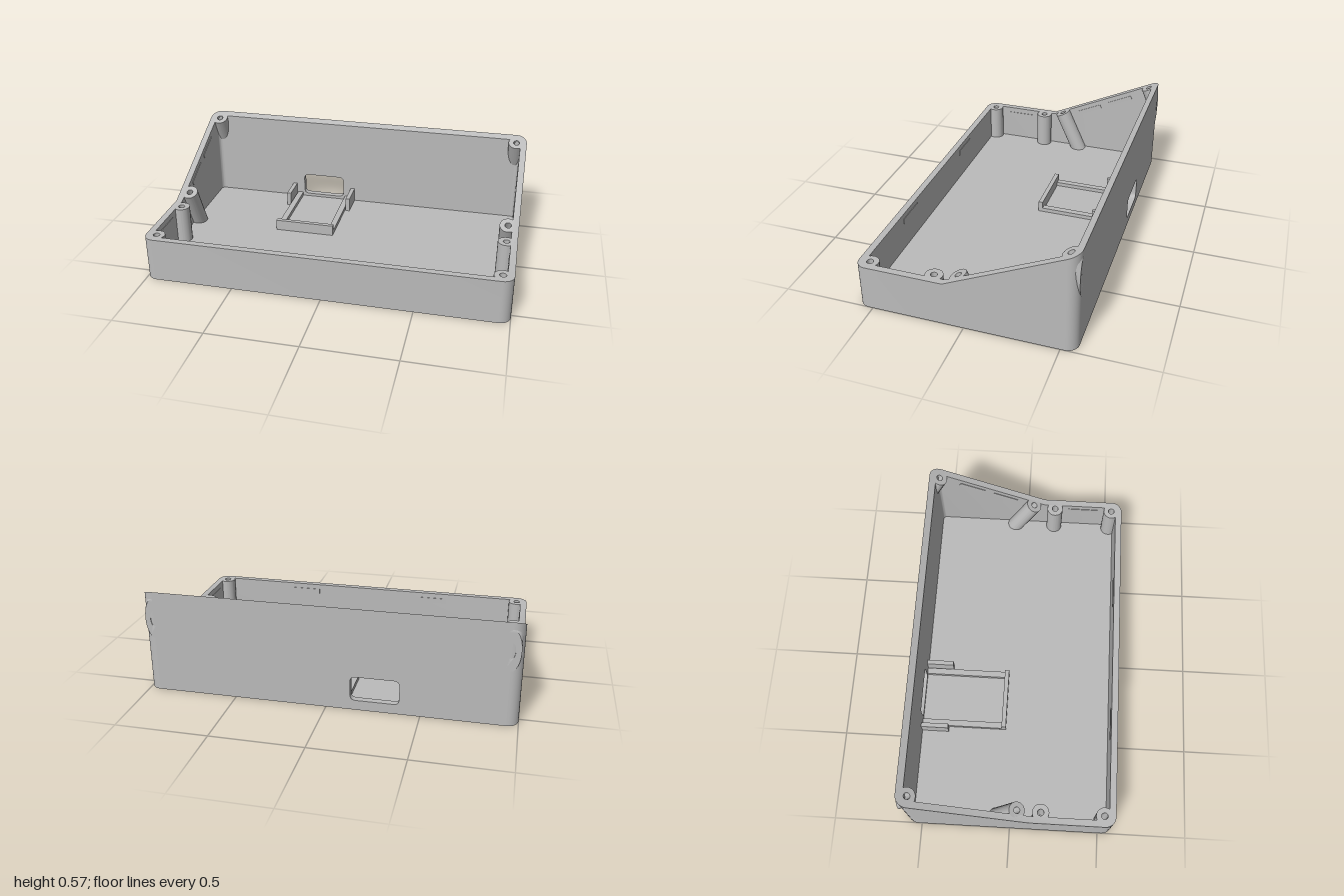
import * as THREE from 'three';
import { toCreasedNormals } from 'three/addons/utils/BufferGeometryUtils.js';

const FLOOR = 0.037, BACK = -0.583, BEND = 0.105, LOW = 0.25, HIGH = 0.57;
const SLOPE = (HIGH - LOW) / (BEND - BACK);
const TILT = Math.atan(SLOPE);
const CX = 0.94, CZ = 0.523; // corner centres

// height of the open rim at depth z
const rim = z => LOW + Math.max(0, BEND - z) * SLOPE;

// rounded outline around the corner centres, open along the back edge
function outline(r) {
  const pts = [];
  const corner = (sx, sz, start) => {
    for (let i = 0; i <= 8; i++) {
      const a = start + (i / 8) * Math.PI / 2;
      pts.push(new THREE.Vector2(sx * CX + r * Math.cos(a), sz * CZ + r * Math.sin(a)));
    }
  };
  corner(1, -1, -Math.PI / 2);
  pts.push(new THREE.Vector2(CX + r, BEND));
  corner(1, 1, 0);
  corner(-1, 1, Math.PI / 2);
  pts.push(new THREE.Vector2(-CX - r, BEND));
  corner(-1, -1, Math.PI);
  return pts;
}

// front and side walls from matching outer and inner outlines
function wallGeometry(outer, inner) {
  const section = i => {
    const o = outer[i], n = inner[i];
    return [[o.x, 0, o.y], [o.x, rim(o.y), o.y], [n.x, rim(n.y), n.y], [n.x, FLOOR, n.y]];
  };
  const pos = [];
  for (let i = 0; i < outer.length - 1; i++) {
    const p = section(i), q = section(i + 1);
    for (let k = 0; k < 3; k++) {
      pos.push(...p[k], ...p[k + 1], ...q[k + 1], ...p[k], ...q[k + 1], ...q[k]);
    }
  }
  const g = new THREE.BufferGeometry();
  g.setAttribute('position', new THREE.Float32BufferAttribute(pos, 3));
  return toCreasedNormals(g, 0.5);
}

// back wall with a rounded port opening
function backGeometry() {
  const s = new THREE.Shape();
  s.moveTo(-CX, 0).lineTo(CX, 0).lineTo(CX, HIGH).lineTo(-CX, HIGH).closePath();
  const x0 = -0.39, x1 = -0.13, y0 = 0.055, y1 = 0.19, r = 0.03;
  const h = new THREE.Path();
  h.moveTo(x0 + r, y0).lineTo(x1 - r, y0).quadraticCurveTo(x1, y0, x1, y0 + r);
  h.lineTo(x1, y1 - r).quadraticCurveTo(x1, y1, x1 - r, y1);
  h.lineTo(x0 + r, y1).quadraticCurveTo(x0, y1, x0, y1 - r);
  h.lineTo(x0, y0 + r).quadraticCurveTo(x0, y0, x0 + r, y0);
  s.holes.push(h);
  const g = new THREE.ExtrudeGeometry(s, { depth: 0.037, bevelEnabled: false, curveSegments: 6 });
  g.translate(0, 0, BACK);
  const p = g.attributes.position;
  for (let i = 0; i < p.count; i++) if (p.getY(i) > 0.5) p.setY(i, rim(p.getZ(i)));
  return toCreasedNormals(g, 0.5);
}

// hollow screw post hanging from the rim; it ends flush with the back plane
function postGeometry(x, z, tilt, length) {
  const s = new THREE.Shape().absarc(0, 0, 0.047, 0, Math.PI * 2);
  s.holes.push(new THREE.Path().absarc(0, 0, 0.018, 0, Math.PI * 2, true));
  const g = new THREE.ExtrudeGeometry(s, { depth: length, bevelEnabled: false, curveSegments: 24 });
  g.rotateX(Math.PI / 2 + tilt).translate(x, rim(z), z);
  const p = g.attributes.position;
  for (let i = 0; i < p.count; i++) {
    const over = BACK - p.getZ(i);
    if (over > 0) {
      p.setZ(i, BACK);
      p.setY(i, p.getY(i) + over / Math.tan(tilt));
    }
  }
  return toCreasedNormals(g, 0.5);
}

export function createModel() {
  const group = new THREE.Group();
  const grey = new THREE.MeshStandardMaterial({ color: 0xbbbbbb });
  grey.name = 'grey';
  const add = (name, geometry) => {
    const m = new THREE.Mesh(geometry, grey);
    m.name = name;
    group.add(m);
    return m;
  };
  const box = (name, x0, x1, y1, z0, z1) =>
    add(name, new THREE.BoxGeometry(x1 - x0, y1 - 0.02, z1 - z0)
      .translate((x0 + x1) / 2, (y1 + 0.02) / 2, (z0 + z1) / 2));

  // shell
  const outer = outline(0.06), inner = outline(0.023);
  add('frontAndSideWalls', wallGeometry(outer, inner));
  add('backWall', backGeometry());
  add('underside', new THREE.ShapeGeometry(new THREE.Shape(outer)).rotateX(Math.PI / 2));
  add('innerFloor', new THREE.ShapeGeometry(new THREE.Shape(inner)).rotateX(-Math.PI / 2).translate(0, FLOOR, 0));

  for (const s of [1, -1]) {
    const side = s > 0 ? 'left' : 'right';
    // screw posts
    add(side + 'FrontPost', postGeometry(s * CX, 0.52, 0, 0.23));
    add(side + 'MiddlePost', postGeometry(s * CX, 0.17, 0, 0.23));
    add(side + 'SlopedPost', postGeometry(s * CX, 0.04, TILT, 0.285));
    add(side + 'BackPost', postGeometry(s * CX, -0.525, TILT, 0.4));

    // lid catches on the inner walls
    const front = add(side + 'FrontCatch', new THREE.BoxGeometry(0.18, 0.03, 0.006));
    front.position.set(s * 0.41, LOW - 0.045, 0.546);
    for (const [z, len, tilt] of [[0.345, 0.18, 0], [-0.14, 0.16, TILT], [-0.34, 0.16, TILT]]) {
      const c = add(side + 'SideCatch', new THREE.BoxGeometry(0.006, 0.025, len));
      c.position.set(s * 0.963, rim(z) - 0.045, z);
      c.rotation.x = tilt;
    }
  }

  // circuit board holder on the floor
  box('holderRightGuide', -0.465, -0.44, 0.12, -0.56, -0.39);
  box('holderLeftGuide', -0.08, -0.055, 0.12, -0.56, -0.39);
  box('holderRightRail', -0.435, -0.4, 0.06, -0.56, -0.08);
  box('holderLeftRail', -0.12, -0.085, 0.06, -0.56, -0.08);
  box('holderFrontStop', -0.435, -0.085, 0.1, -0.08, -0.055);
  return group;
}
